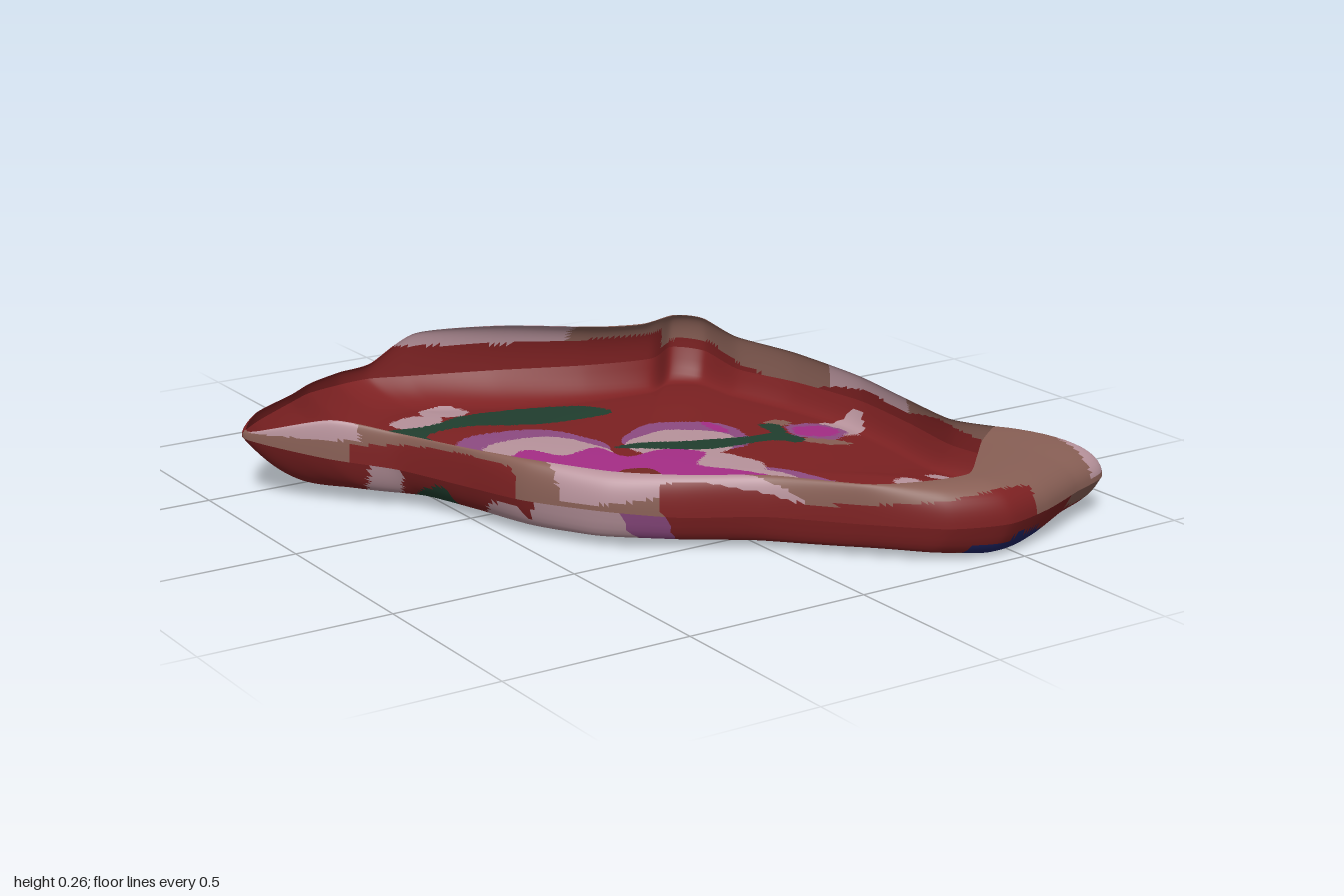
import * as THREE from 'three';

const colours = {
  red: 0x7d2122, tan: 0x885f55, white: 0xb8939c, purple: 0x8e4b82,
  pink: 0xa52d86, green: 0x213f2f, blue: 0x1f2566, rust: 0x722722,
};
const names = Object.keys(colours);
const clamp = (v) => Math.min(1, Math.max(0, v));

// Outline of the shard seen from above: x, z, height, clockwise from the back tip
const outline = [
  [-0.26, -1, 0.1], [-0.16, -0.93, 0.11], [0.05, -0.82, 0.12], [0.3, -0.72, 0.12], [0.5, -0.675, 0.12],
  [0.6, -0.72, 0.13], [0.68, -0.66, 0.12], [0.69, -0.5, 0.1], [0.75, -0.3, 0.1], [0.79, -0.05, 0.1],
  [0.77, 0.2, 0.1], [0.74, 0.42, 0.1], [0.78, 0.6, 0.1], [0.905, 0.82, 0.1], [0.75, 0.9, 0.1],
  [0.6, 0.965, 0.1], [0.45, 1, 0.1], [0.3, 0.95, 0.1], [0.15, 0.81, 0.1], [-0.02, 0.63, 0.1],
  [-0.2, 0.52, 0.1], [-0.35, 0.4, 0.11], [-0.47, 0.22, 0.11], [-0.54, 0.03, 0.11], [-0.63, -0.15, 0.12],
  [-0.77, -0.28, 0.14], [-0.91, -0.46, 0.17], [-0.8, -0.63, 0.15], [-0.62, -0.78, 0.14], [-0.5, -0.9, 0.12],
  [-0.36, -0.99, 0.1],
];
// Upper rim beside each outline point: inward x, inward z, height
const rim = [
  [0, 0.02, 0.15], [0.01, 0.02, 0.24], [0, 0.055, 0.265], [0, 0.07, 0.25], [-0.07, 0.055, 0.245],
  [-0.02, 0.05, 0.24], [-0.03, 0.03, 0.23], [-0.01, 0, 0.2], [-0.01, 0, 0.19], [-0.01, 0, 0.175],
  [-0.01, 0, 0.17], [-0.01, 0, 0.175], [-0.02, -0.02, 0.19], [-0.18, -0.22, 0.2], [-0.13, -0.22, 0.2],
  [-0.08, -0.185, 0.2], [-0.03, -0.13, 0.2], [0, -0.09, 0.2], [0.01, -0.01, 0.2], [0.02, -0.02, 0.2],
  [0.02, -0.03, 0.2], [0.04, -0.03, 0.2], [0.03, -0.01, 0.21], [0.01, 0, 0.21], [0.01, -0.005, 0.215],
  [0.02, 0, 0.24], [0.01, 0.01, 0.19], [0.005, 0.005, 0.18], [0.005, 0.005, 0.165], [0.005, 0.005, 0.15],
  [0, 0.01, 0.14],
];
const loop = (pts) => new THREE.CatmullRomCurve3(pts, true, 'catmullrom', 0.35);
const outerCurve = loop(outline.map(([x, z, y]) => new THREE.Vector3(x, y, z)));
const rimCurve = loop(outline.map(([x, z], i) => new THREE.Vector3(x + rim[i][0], rim[i][2], z + rim[i][1])));

// Painted shapes: ellipses (x, z, rx, rz, turn) and smoothed polygons
function ellipse(x, z, rx, rz = rx, turn = 0) {
  const c = Math.cos(turn), s = Math.sin(turn);
  return (px, pz) => {
    const dx = px - x, dz = pz - z, a = Math.atan2(dz, dx);
    const wobble = 1 + 0.04 * Math.sin(5 * a + x * 40);
    return Math.hypot((dx * c + dz * s) / rx, (dz * c - dx * s) / rz) < wobble;
  };
}
function patch(pts) {
  const p = new THREE.SplineCurve([...pts, pts[0]].map(([x, z]) => new THREE.Vector2(x, z))).getPoints(pts.length * 4);
  return (x, z) => {
    let inside = false;
    for (let i = 0, j = p.length - 1; i < p.length; j = i++) {
      if ((p[i].y > z) !== (p[j].y > z) && x < (p[j].x - p[i].x) * (z - p[i].y) / (p[j].y - p[i].y) + p[i].x) inside = !inside;
    }
    return inside;
  };
}
const flower = patch([[-0.25, -0.23], [-0.17, -0.26], [-0.12, -0.16], [-0.01, -0.17], [0.01, -0.05], [0.13, -0.05],
  [0.21, 0.03], [0.13, 0.11], [0.2, 0.2], [0.26, 0.32], [0.21, 0.44], [0.1, 0.42], [0.02, 0.34], [-0.03, 0.23],
  [-0.1, 0.22], [-0.13, 0.32], [-0.25, 0.36], [-0.36, 0.34], [-0.36, 0.2], [-0.34, 0.07], [-0.2, 0.03], [-0.26, -0.1]]);
const leaves = patch([[-0.55, -0.67], [-0.5, -0.71], [-0.38, -0.66], [-0.27, -0.62], [-0.1, -0.68], [0.1, -0.67],
  [0.22, -0.6], [0.24, -0.48], [0.15, -0.46], [-0.02, -0.48], [-0.2, -0.55], [-0.33, -0.53], [-0.34, -0.42],
  [-0.4, -0.25], [-0.49, -0.15], [-0.52, -0.03], [-0.57, -0.06], [-0.57, -0.25], [-0.47, -0.4], [-0.37, -0.5], [-0.41, -0.58]]);
const stem = patch([[0.02, -0.14], [0.1, -0.14], [0.25, -0.08], [0.48, -0.06], [0.51, -0.15], [0.57, -0.13],
  [0.54, -0.05], [0.55, 0.02], [0.5, 0.04], [0.45, 0], [0.25, 0.01], [0.12, -0.06]]);

// Topmost layer first
const layers = [
  ['rust', ellipse(-0.05, 0.1, 0.06)],
  ['green', stem], ['green', leaves], ['green', ellipse(0.55, 0.74, 0.035)],
  ['blue', ellipse(0.23, 0.6, 0.07, 0.025, -0.5)], ['blue', ellipse(0.49, 0.91, 0.135, 0.065, -0.15)],
  ['pink', flower], ['pink', ellipse(0.63, -0.04, 0.07, 0.055)], ['pink', ellipse(0.38, -0.17, 0.02, 0.06)],
  ['purple', ellipse(0.63, -0.04, 0.085, 0.085)], ['white', ellipse(0.7, -0.04, 0.08, 0.07)],
  ['tan', ellipse(0.59, 0.06, 0.07, 0.03, 0.7)], ['tan', ellipse(0.58, -0.15, 0.04, 0.03)],
  // petals
  ['white', ellipse(-0.16, -0.17, 0.165, 0.2)], ['white', ellipse(0.21, -0.08, 0.16, 0.125)],
  ['white', ellipse(0.13, 0.38, 0.18, 0.24, -0.3)], ['white', ellipse(0.19, 0.16, 0.1, 0.13)],
  ['white', ellipse(-0.26, 0.27, 0.2, 0.17)], ['white', ellipse(-0.4, 0.12, 0.1)],
  ['purple', ellipse(-0.17, -0.24, 0.2, 0.22)], ['purple', ellipse(0.25, -0.12, 0.18, 0.16)],
  ['purple', ellipse(0.16, 0.41, 0.2, 0.245, -0.2)], ['purple', ellipse(-0.27, 0.35, 0.17, 0.15)],
  // berries beside the leaves and along the front
  ...[[-0.28, -0.68, 0.075, 0.07], [-0.16, -0.74, 0.07], [-0.42, -0.53, 0.05, 0.06], [-0.52, -0.43, 0.07, 0.09],
    [-0.6, -0.33, 0.09, 0.06], [-0.64, -0.2, 0.04, 0.07], [0.65, 0.48, 0.035], [0.52, 0.51, 0.035], [0.41, 0.57, 0.035],
    [0.31, 0.66, 0.04], [0.24, 0.75, 0.055], [0.36, 0.82, 0.06, 0.035], [0.52, 0.72, 0.07, 0.08],
  ].map((e) => ['white', ellipse(...e)]),
  ['tan', ellipse(0.5, 0.88, 0.17, 0.075, -0.15)],
];
function floorColour(x, y, z) {
  const hit = layers.find(([, test]) => test(x, z));
  if (hit) return hit[0];
  return y > 0.06 && x > 0.72 && z > 0.6 ? 'tan' : 'red';
}

// Broken edge: red glaze below, bare clay above, pale chips
function edgeColour(x, y, z) {
  const wave = 0.02 * Math.sin(8 * x + 5 * z) + 0.012 * Math.sin(17 * x - 13 * z);
  if (x < -0.2 && z < -0.48) return 'red';
  if (z < -0.6 && x < 0.55) return y < 0.2 ? 'red' : x < 0.25 ? 'white' : 'tan';
  if (z > 0.55 && x > 0.1) {
    if (x > 0.83 && y > 0.11) return 'white';
    return x < 0.55 && y < 0.165 + wave * 0.5 ? 'red' : 'tan';
  }
  if (x < -0.42) {
    if (x > -0.72 && x < -0.48 && y < 0.185 + wave * 0.5) return 'red';
    return y > 0.19 && x < -0.7 ? 'white' : 'tan';
  }
  if (x < -0.24) return y > 0.13 + wave ? 'white' : 'tan';
  if (y < (x < 0.2 ? 0.165 : 0.125) + wave) return 'red';
  return Math.sin(9 * x - 7 * z + 1) > 0.3 ? 'white' : 'tan';
}

// Surface from rows of points, its faces sorted into colour groups
function surface(name, rows, columns, point, colour, materials) {
  const positions = [], p = new THREE.Vector3();
  for (let r = 0; r <= rows; r++) {
    for (let c = 0; c < columns; c++) {
      point(r / rows, c / columns, p);
      positions.push(p.x, p.y, p.z);
    }
  }
  const buckets = names.map(() => []);
  const face = (...ids) => {
    const mid = [0, 1, 2].map((k) => ids.reduce((sum, i) => sum + positions[i * 3 + k], 0) / 3);
    buckets[names.indexOf(colour(...mid))].push(...ids);
  };
  for (let r = 0; r < rows; r++) {
    for (let c = 0; c < columns; c++) {
      const n = (c + 1) % columns;
      const a = r * columns + c, b = r * columns + n, d = a + columns, e = b + columns;
      face(a, e, d);
      face(a, b, e);
    }
  }
  const geometry = new THREE.BufferGeometry();
  geometry.setAttribute('position', new THREE.Float32BufferAttribute(positions, 3));
  geometry.setIndex(buckets.flat());
  let start = 0;
  buckets.forEach((ids, i) => {
    if (ids.length) geometry.addGroup(start, ids.length, i);
    start += ids.length;
  });
  geometry.computeVertexNormals();
  const mesh = new THREE.Mesh(geometry, materials);
  mesh.name = name;
  return mesh;
}

export function createModel() {
  const group = new THREE.Group();
  group.name = 'paintedShard';
  const materials = names.map((name) => {
    const m = new THREE.MeshStandardMaterial({ color: colours[name], side: THREE.DoubleSide });
    m.name = name;
    return m;
  });
  const outer = new THREE.Vector3(), top = new THREE.Vector3();

  // Thin painted face: slightly domed, dipping at the front, curling up at its outline
  const floorPoint = (t, u, p) => {
    outerCurve.getPoint(u, outer);
    const backLeft = clamp((-outer.x - outer.z) / 1.2);
    const width = 0.08 + 0.12 * backLeft;
    const curl = Math.pow(clamp((t - 1 + width) / width), 2.6 - 0.9 * backLeft);
    const x = outer.x * t, z = outer.z * t;
    const dip = 0.022 * Math.exp(-((x - 0.5) ** 2 + (z - 0.88) ** 2) / 0.03);
    const flat = 0.022 + 0.045 * (1 - t ** 3) + 0.005 * Math.sin(7 * x + 1) * Math.cos(6 * z) - dip;
    p.set(x, flat + (outer.y - flat) * curl, z);
  };
  // Broken edge: stands up from the outline, then turns in to the open rim
  const edgePoint = (t, u, p) => {
    outerCurve.getPoint(u, outer);
    rimCurve.getPoint(u, top);
    const lean = t * t, rise = t * (2 - t);
    p.set(outer.x + (top.x - outer.x) * lean, outer.y + (top.y - outer.y) * rise, outer.z + (top.z - outer.z) * lean);
  };
  group.add(surface('paintedFace', 85, 400, floorPoint, floorColour, materials));
  group.add(surface('brokenEdge', 14, 400, edgePoint, edgeColour, materials));

  const low = new THREE.Box3().setFromObject(group).min.y;
  group.children.forEach((mesh) => mesh.geometry.translate(0, -low, 0));
  return group;
}
